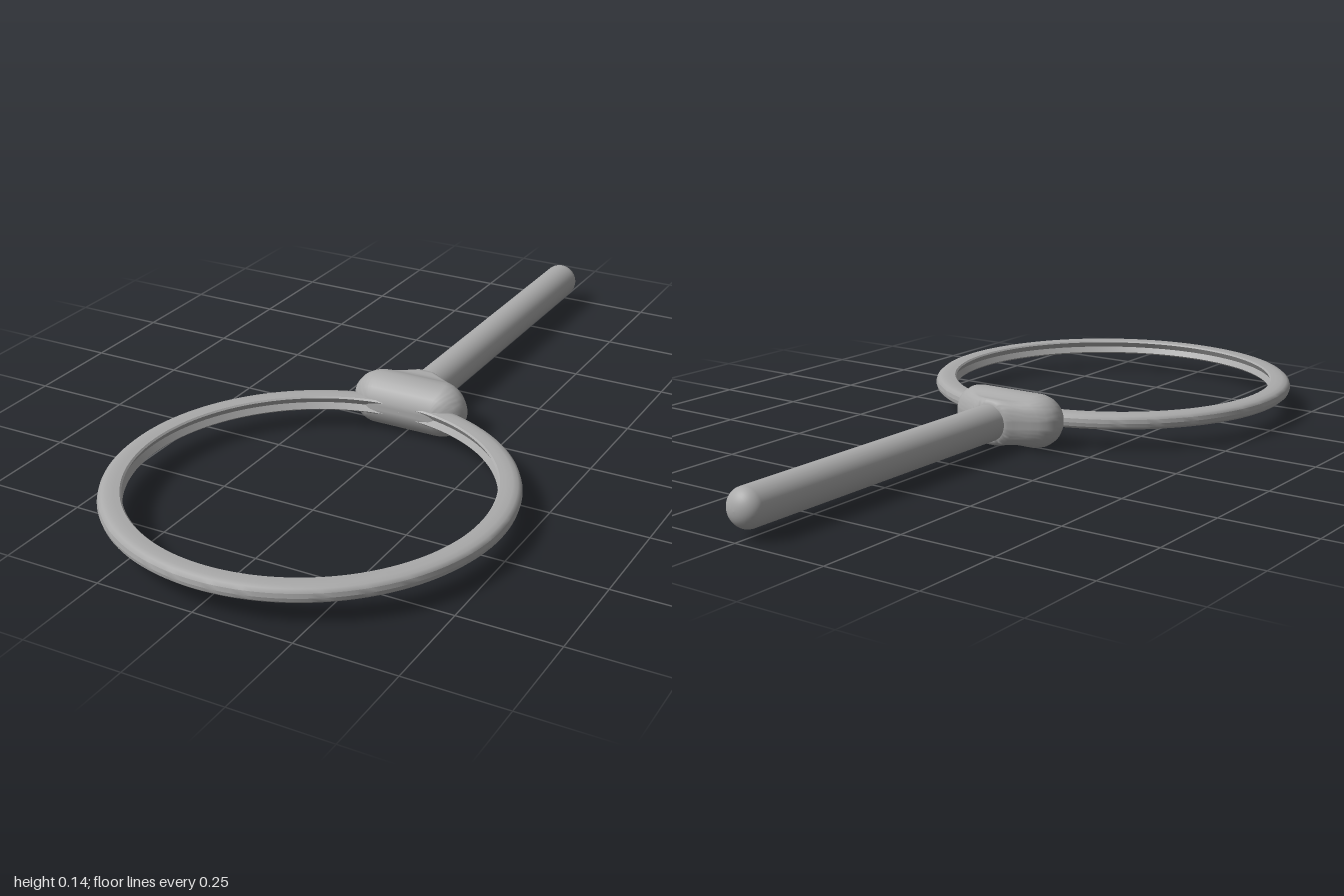
import * as THREE from 'three';
import { toCreasedNormals } from 'three/addons/utils/BufferGeometryUtils.js';

const AXIS_Y = 0.07;

// Lofts stadium-like sections [z, halfWidth, halfHeight] running from front to back
function loftAlongZ(sections, segments = 64) {
  const positions = [], indices = [];
  for (const [z, hx, hy] of sections) {
    const r = Math.min(hx, hy);
    for (let i = 0; i < segments; i++) {
      const a = ((i + 0.5) / segments) * Math.PI * 2;
      const c = Math.cos(a), s = Math.sin(a);
      positions.push(c * r + Math.sign(c) * (hx - r), s * hy, z);
    }
  }
  for (let k = 0; k < sections.length - 1; k++) {
    for (let i = 0; i < segments; i++) {
      const j = (i + 1) % segments;
      const a = k * segments + i, b = k * segments + j;
      const c = a + segments, d = b + segments;
      indices.push(a, c, b, b, c, d);
    }
  }
  const geometry = new THREE.BufferGeometry();
  geometry.setAttribute('position', new THREE.Float32BufferAttribute(positions, 3));
  geometry.setIndex(indices);
  geometry.computeVertexNormals();
  return geometry;
}

export function createModel() {
  const model = new THREE.Group();
  const gray = new THREE.MeshStandardMaterial({ color: 0xaaaaaa });
  gray.name = 'gray';

  function add(name, geometry, z = 0) {
    const mesh = new THREE.Mesh(geometry, gray);
    mesh.name = name;
    mesh.position.set(0, AXIS_Y, z);
    model.add(mesh);
    return mesh;
  }

  // Ring: rounded outside, shallow groove along the inner wall
  const ringProfile = [
    [0.447, 0], [0.438, -0.015], [0.442, -0.019], [0.455, -0.02], [0.472, -0.02],
    [0.484, -0.017], [0.492, -0.01], [0.495, 0], [0.492, 0.01], [0.484, 0.017],
    [0.472, 0.02], [0.455, 0.02], [0.442, 0.019], [0.438, 0.015], [0.447, 0],
  ].map(([r, y]) => new THREE.Vector2(r, y));
  add('ring', toCreasedNormals(new THREE.LatheGeometry(ringProfile, 128), 0.7), 0.505);

  // Hub: a rounded body that narrows towards the handle
  const hubSections = [
    [0.071, 0.001, 0.001], [0.071, 0.088, 0.006], [0.069, 0.1, 0.017], [0.063, 0.116, 0.032],
    [0.053, 0.133, 0.047], [0.039, 0.147, 0.059], [0.022, 0.155, 0.067], [0.004, 0.157, 0.07],
    [-0.014, 0.153, 0.068], [-0.03, 0.142, 0.063], [-0.043, 0.125, 0.058], [-0.055, 0.104, 0.057],
    [-0.066, 0.083, 0.059], [-0.075, 0.068, 0.06], [-0.082, 0.057, 0.056], [-0.086, 0.048, 0.048],
    [-0.086, 0.001, 0.001],
  ];
  add('hub', toCreasedNormals(loftAlongZ(hubSections), 0.9));

  // Handle: long rod with a rounded far end
  const radius = 0.048, tip = 0.04;
  const handleProfile = [new THREE.Vector2(radius, 0.03)];
  for (let i = 0; i <= 10; i++) {
    const a = (i / 10) * Math.PI / 2;
    handleProfile.push(new THREE.Vector2(radius * Math.cos(a), 1 - tip + tip * Math.sin(a)));
  }
  add('handle', new THREE.LatheGeometry(handleProfile, 48)).rotation.x = -Math.PI / 2;

  return model;
}
